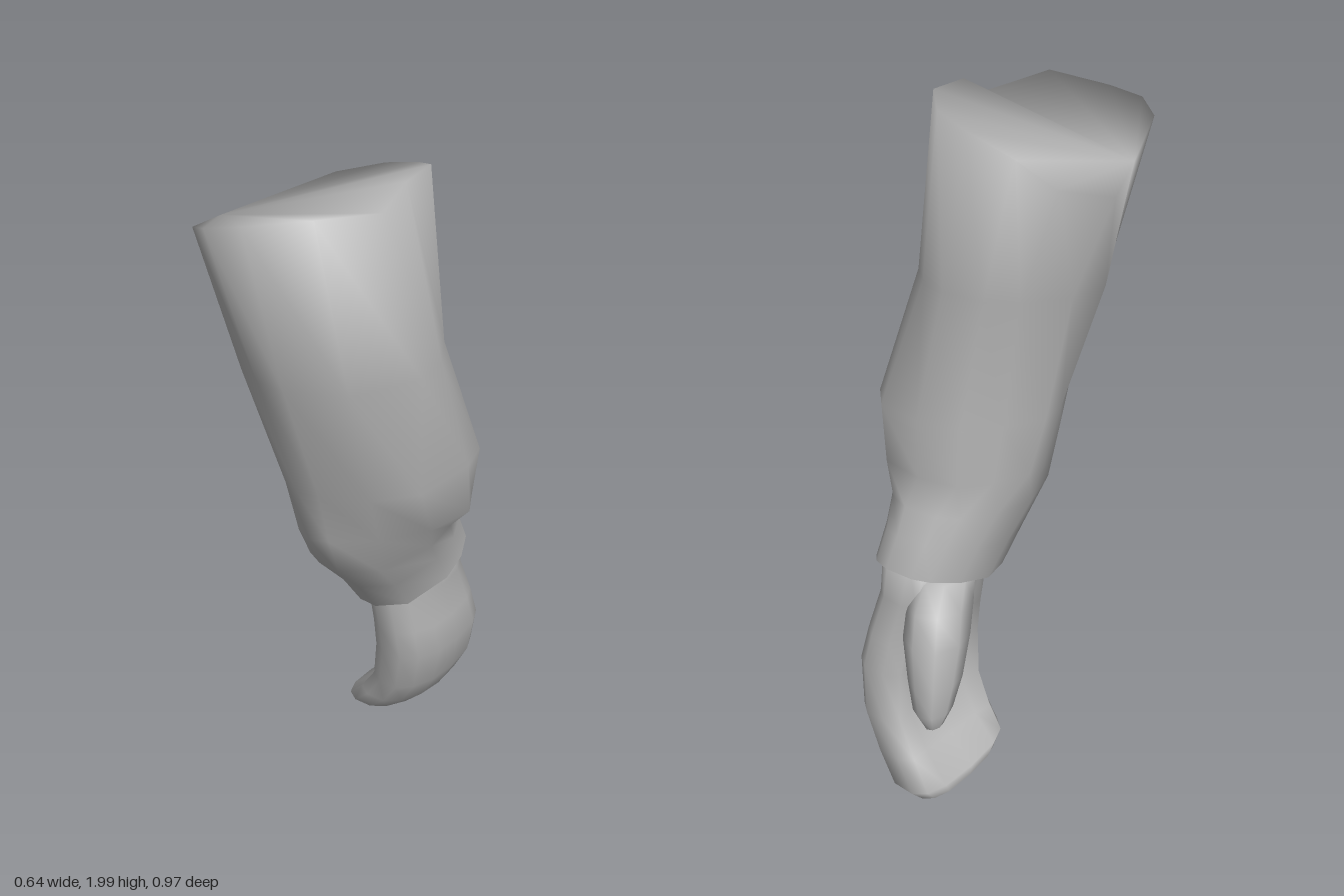
import * as THREE from 'three';

const grey = new THREE.MeshStandardMaterial({ color: 0xb2b2b2 });
grey.name = 'plain grey';

// Uneven upper edge of the sleeve, running from the outer side round the front
const rim = [
  [0.22, 2.0, 0.1], [0.22, 1.95, 0.2], [0.165, 1.98, 0.4], [0, 1.95, 0.47],
  [-0.1, 1.93, 0.49], [-0.18, 1.9, 0.44], [-0.28, 1.84, 0.22], [-0.32, 1.78, 0.09],
  [-0.25, 1.82, -0.06], [-0.15, 1.89, -0.11], [0, 1.94, -0.13], [0.12, 1.97, -0.11],
  [0.2, 2.0, -0.04],
];

// Elbow outlines, in the same order, as x and z
const elbow = [
  [0.32, -0.09], [0.3, 0.12], [0.21, 0.23], [0.08, 0.29], [0.02, 0.305], [-0.04, 0.28],
  [-0.17, 0.07], [-0.19, -0.02], [-0.14, -0.14], [-0.07, -0.24], [0.07, -0.27],
  [0.22, -0.258], [0.295, -0.19],
].map(([x, z]) => [x, 1.14, z]);
const belowElbow = [
  [0.312, -0.12], [0.28, 0.03], [0.19, 0.16], [0.08, 0.245], [0.03, 0.268], [-0.03, 0.24],
  [-0.14, 0.04], [-0.16, -0.05], [-0.12, -0.16], [-0.06, -0.25], [0.06, -0.28],
  [0.2, -0.265], [0.27, -0.2],
].map(([x, z]) => [x, 0.97, z]);

// Boxy oval ring, rounder towards the outer front; tilt raises or lowers it
// along z, hollow flattens its inner side
function ring(angles, boxy, [y, x0, x1, z0, z1, tilt = 0, hollow = 1]) {
  return angles.map((a) => {
    const cos = Math.cos(a), sin = Math.sin(a), power = cos > 0 && sin > 0 ? 1 : boxy;
    const c = Math.sign(cos) * Math.abs(cos) ** power;
    const s = Math.sign(sin) * Math.abs(sin) ** power;
    const dx = c * (x1 - x0) / 2 * (c < 0 && Math.abs(sin) < 0.6 ? hollow : 1);
    const dz = s * (z1 - z0) / 2;
    return [(x0 + x1) / 2 + dx, y + tilt * dz, (z0 + z1) / 2 + dz];
  });
}

// Smooth skin over rings listed from top to bottom. The top closes as a fan from
// the rim corner numbered apex, the bottom with a sharp edge.
function loft(name, rings, apex) {
  const n = rings[0].length, index = [], points = rings.flat();
  for (let i = 1; i < n - 1; i++) {
    index.push(apex, (apex + i + 1) % n, (apex + i) % n);
  }
  for (let i = 0; i < rings.length - 1; i++) {
    for (let j = 0; j < n; j++) {
      const k = (j + 1) % n, a = i * n, b = a + n;
      index.push(a + j, a + k, b + j, a + k, b + k, b + j);
    }
  }
  const last = rings[rings.length - 1], base = points.length;
  points.push(...last, [0, 1, 2].map((d) => last.reduce((t, p) => t + p[d] / n, 0)));
  for (let j = 0; j < n; j++) index.push(base + j, base + (j + 1) % n, base + n);

  const g = new THREE.BufferGeometry();
  g.setAttribute('position', new THREE.Float32BufferAttribute(points.flat(), 3));
  g.setIndex(index);
  g.computeVertexNormals();
  const mesh = new THREE.Mesh(g, grey);
  mesh.name = name;
  return mesh;
}

export function createModel() {
  const arm = new THREE.Group();
  arm.name = 'sleevedArm';

  // Sleeve and cuff: y, x range, z range, tilt
  const rimAngles = rim.map(([x, , z]) => Math.atan2(z - 0.18, x + 0.03));
  const upperArm = ring(rimAngles, 1, [1.5, -0.25, 0.305, -0.175, 0.4]);
  const cuff = [
    [0.86, -0.135, 0.235, -0.32, 0.19, -0.1],
    [0.76, -0.12, 0.205, -0.365, 0.07, -0.25],
    [0.66, -0.1, 0.205, -0.405, 0, -0.3],
  ].map((s) => ring(rimAngles, 0.85, s));
  arm.add(loft('sleeve', [rim, upperArm, elbow, belowElbow, ...cuff], 6));

  // Hand: a broad mitt whose fingers curl inward
  const round = (n) => Array.from({ length: n }, (_, i) => i / n * Math.PI * 2);
  const hand = [
    [0.74, -0.06, 0.18, -0.37, -0.04],
    [0.6, -0.03, 0.175, -0.39, -0.035],
    [0.48, -0.02, 0.195, -0.43, -0.045, 0, 0.8],
    [0.38, -0.02, 0.21, -0.455, -0.055, 0, 0.55],
    [0.24, -0.04, 0.178, -0.48, -0.075, 0, 0.55],
    [0.14, -0.1, 0.125, -0.485, -0.09, 0.05, 0.7],
    [0.065, -0.15, 0.06, -0.487, -0.1, 0.15],
    [0.03, -0.145, 0.01, -0.455, -0.14, 0.16],
  ].map((s) => ring(round(14), 0.72, s));
  arm.add(loft('hand', hand, 0));

  // Thumb
  const thumb = [
    [0.68, -0.09, 0.06, -0.34, -0.16],
    [0.6, -0.115, 0.05, -0.4, -0.19],
    [0.52, -0.147, 0.03, -0.44, -0.24],
    [0.4, -0.152, -0.015, -0.46, -0.29],
    [0.32, -0.153, -0.05, -0.467, -0.345],
    [0.27, -0.135, -0.09, -0.445, -0.385],
  ].map((s) => ring(round(8), 0.9, s));
  arm.add(loft('thumb', thumb, 0));

  return arm;
}
